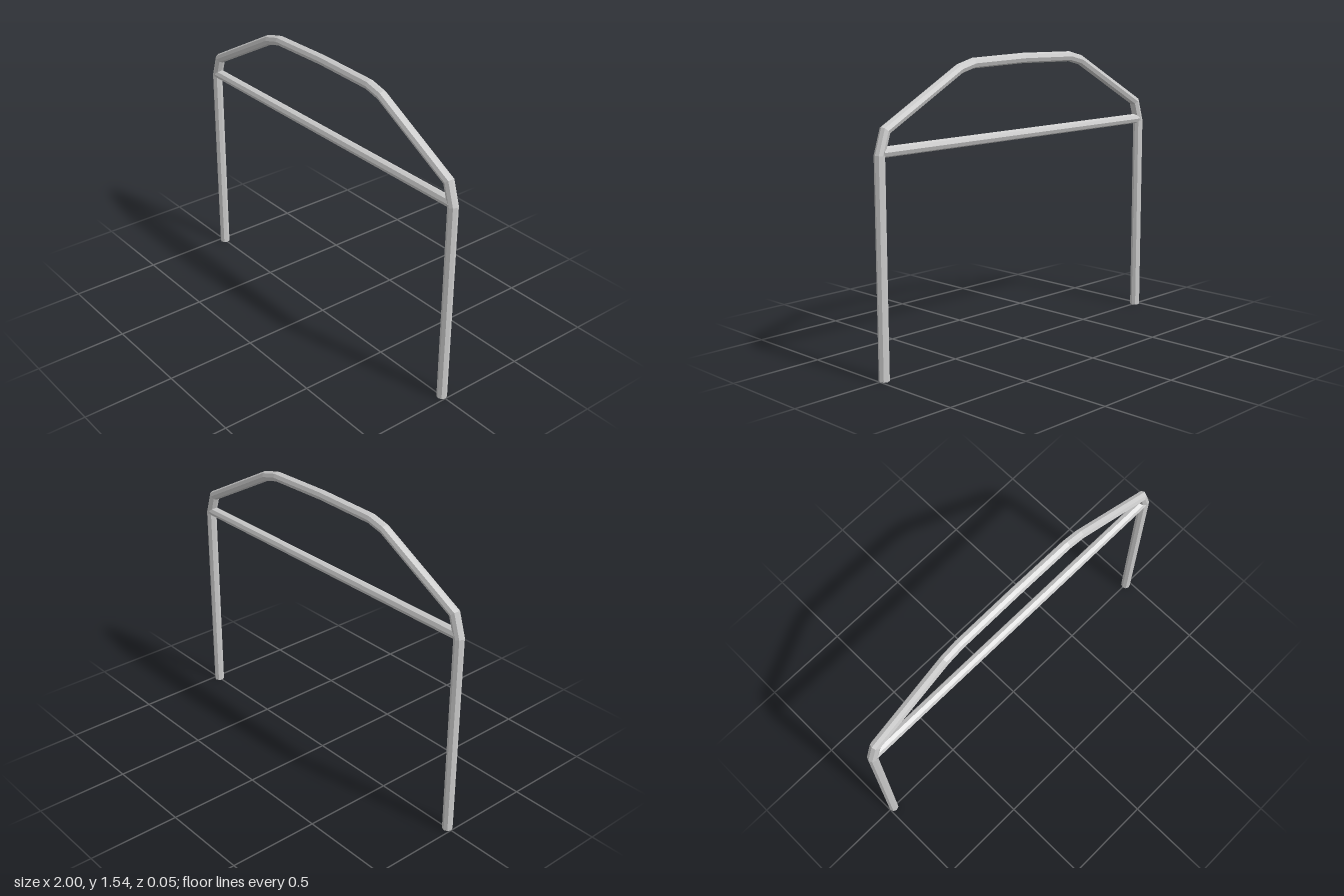
import * as THREE from 'three';

const RADIUS = 0.027;
const SIDES = 8;

// Capped octagonal pipe swept along a path in the xy plane, with mitred bends
function pipe(name, points, material) {
  const path = points.map(([x, y]) => new THREE.Vector2(x, y));
  const last = path.length - 1;
  const normal = (i) => {
    const d = path[i + 1].clone().sub(path[i]).normalize();
    return new THREE.Vector2(-d.y, d.x);
  };
  const pos = [];
  const index = [];

  path.forEach((p, i) => {
    const a = normal(Math.max(i - 1, 0));
    const b = normal(Math.min(i, last - 1));
    const miter = a.clone().add(b).normalize();
    miter.divideScalar(miter.dot(a));
    for (let k = 0; k < SIDES; k++) {
      const t = (k / SIDES) * Math.PI * 2;
      const c = Math.cos(t) * RADIUS;
      pos.push(p.x + miter.x * c, p.y + miter.y * c, Math.sin(t) * RADIUS);
    }
  });

  // Walls
  for (let i = 0; i < last; i++) {
    for (let k = 0; k < SIDES; k++) {
      const a = i * SIDES + k;
      const b = i * SIDES + (k + 1) % SIDES;
      index.push(a, b, a + SIDES, b, b + SIDES, a + SIDES);
    }
  }
  // End caps
  const end = last * SIDES;
  for (let k = 1; k < SIDES - 1; k++) {
    index.push(0, k + 1, k, end, end + k, end + k + 1);
  }

  const geometry = new THREE.BufferGeometry();
  geometry.setAttribute('position', new THREE.Float32BufferAttribute(pos, 3));
  geometry.setIndex(index);
  const flat = geometry.toNonIndexed();
  flat.computeVertexNormals();
  const mesh = new THREE.Mesh(flat, material);
  mesh.name = name;
  return mesh;
}

export function createModel() {
  const group = new THREE.Group();
  group.name = 'rollHoop';
  const material = new THREE.MeshStandardMaterial({ color: 0xcccccc, flatShading: true });

  // Main hoop: one half from the foot to the crown, then mirrored
  const half = [
    [-0.973, 0], [-0.973, 1.105], [-0.936, 1.222],
    [-0.454, 1.484], [-0.361, 1.508],
  ];
  const mirrored = half.map(([x, y]) => [-x, y]).reverse();
  group.add(pipe('mainHoop', [...half, [0, 1.516], ...mirrored], material));

  // Horizontal brace between the two uprights
  group.add(pipe('crossBar', [[-0.96, 1.12], [0.96, 1.12]], material));

  return group;
}
